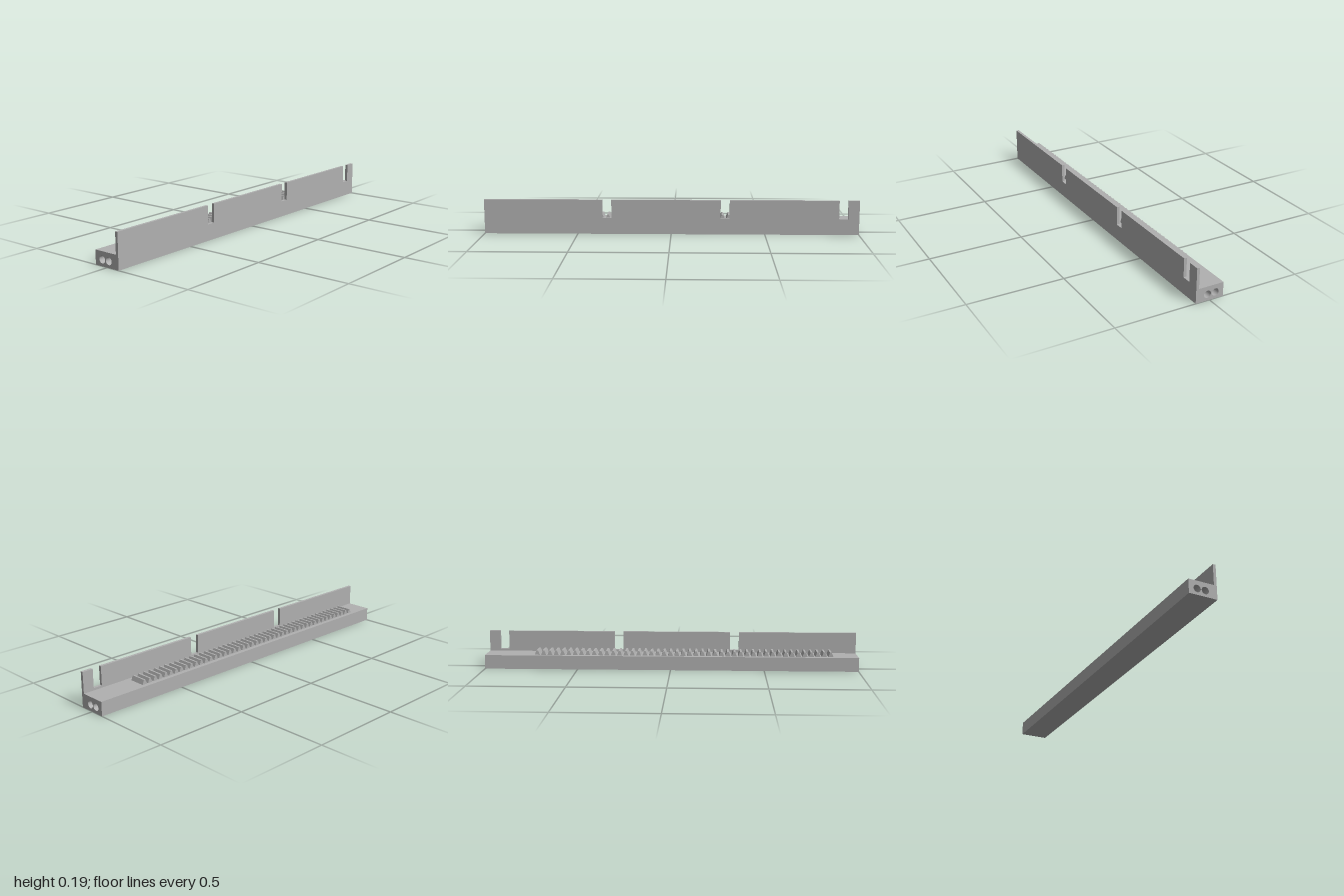
import * as THREE from 'three';

const BASE_TOP = 0.074, WALL_TOP = 0.185, SLOT_FLOOR = 0.086;
const FRONT = 0.0755, BACK = -0.0755, WALL_BACK = 0.0605;

function shapeFrom(points) {
  return new THREE.Shape(points.map(([x, y]) => new THREE.Vector2(x, y)));
}

export function createModel() {
  const group = new THREE.Group();
  const grey = new THREE.MeshStandardMaterial({ color: 0xb0b0b0 });
  grey.name = 'plain grey';

  function add(name, geometry) {
    const mesh = new THREE.Mesh(geometry, grey);
    mesh.name = name;
    group.add(mesh);
  }

  // Long base bar with two round bores running end to end
  const section = shapeFrom([[-FRONT, 0], [-BACK, 0], [-BACK, BASE_TOP], [-FRONT, BASE_TOP]]);
  for (const z of [0.012, -0.031]) {
    const bore = new THREE.Path();
    bore.absarc(-z, 0.033, 0.019, 0, Math.PI * 2, true);
    section.holes.push(bore);
  }
  const base = new THREE.ExtrudeGeometry(section, { depth: 2, bevelEnabled: false, curveSegments: 24 });
  base.translate(0, 0, -1).rotateY(Math.PI / 2);
  add('base', base);

  // Thin front wall with three slots open at the top
  const outline = [[-1, BASE_TOP], [1, BASE_TOP], [1, WALL_TOP]];
  for (const x of [0.917, 0.288, -0.343]) {
    const r = 0.024;
    outline.push([x + r, WALL_TOP], [x + r, SLOT_FLOOR], [x - r, SLOT_FLOOR], [x - r, WALL_TOP]);
  }
  outline.push([-1, WALL_TOP]);
  const wall = new THREE.ExtrudeGeometry(shapeFrom(outline), { depth: FRONT - WALL_BACK, bevelEnabled: false });
  wall.translate(0, 0, WALL_BACK);
  add('slottedWall', wall);

  // Gear rack: a row of tapered teeth across the base
  const teeth = 47, start = -0.867, end = 0.733, root = 0.0135, tip = 0.0046;
  const pitch = (end - start - 2 * root) / (teeth - 1);
  const tooth = new THREE.ExtrudeGeometry(
    shapeFrom([[-root, BASE_TOP], [root, BASE_TOP], [tip, 0.098], [-tip, 0.098]]),
    { depth: 0.087, bevelEnabled: false });
  tooth.translate(0, 0, -0.053);
  const rack = new THREE.Group();
  rack.name = 'rack';
  for (let i = 0; i < teeth; i++) {
    const mesh = new THREE.Mesh(tooth, grey);
    mesh.name = 'rackTooth';
    mesh.position.x = start + root + i * pitch;
    rack.add(mesh);
  }
  group.add(rack);

  return group;
}
